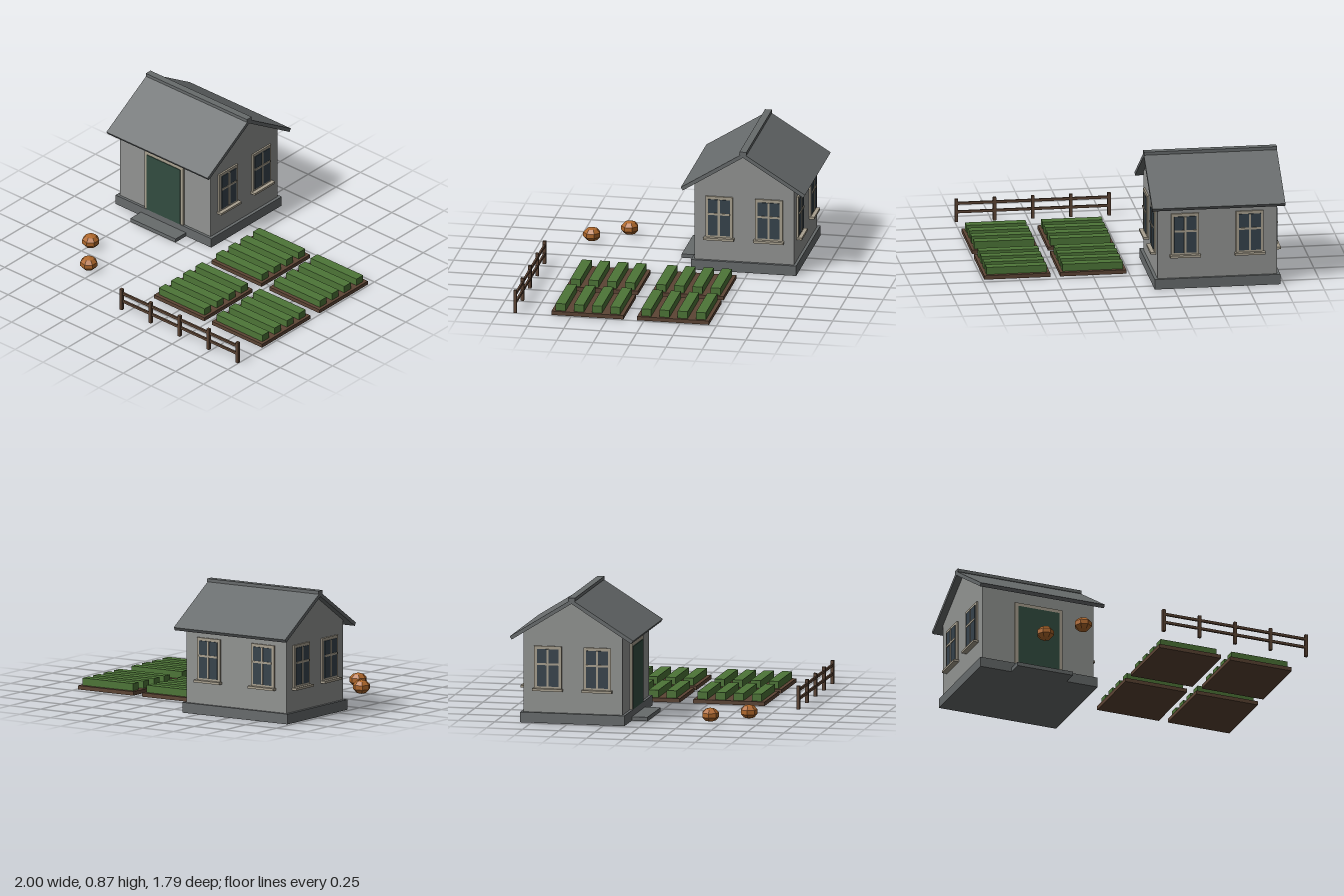
import * as THREE from 'three';

const mat = (name, color, flatShading = false) => {
  const m = new THREE.MeshStandardMaterial({ color, flatShading });
  m.name = name;
  return m;
};

export function createModel() {
  const wallGrey = mat('wall grey', 0x929492);
  const slate = mat('slate grey', 0x676b6c);
  const trim = mat('stone trim', 0xa8a08f);
  const doorGreen = mat('door green', 0x324c40);
  const glass = mat('window glass', 0x36434c);
  const wood = mat('brown wood', 0x5c4434);
  const leaf = mat('crop green', 0x4d7537);
  const orange = mat('pumpkin orange', 0xb0682b, true);

  const group = (name, parent) => {
    const g = new THREE.Group();
    g.name = name;
    parent.add(g);
    return g;
  };
  const add = (parent, name, geometry, material, x = 0, y = 0, z = 0) => {
    const m = new THREE.Mesh(geometry, material);
    m.name = name;
    m.position.set(x, y, z);
    parent.add(m);
    return m;
  };
  // Box given by its size, its centre in x and z, and its underside in y
  const box = (parent, name, material, w, h, d, x, y, z) =>
    add(parent, name, new THREE.BoxGeometry(w, h, d), material, x, y + h / 2, z);
  // Profile of (z, y) points, extruded along x and centred
  const prism = (parent, name, material, points, length) => {
    const shape = new THREE.Shape(points.map(([a, b]) => new THREE.Vector2(a, b)));
    const geo = new THREE.ExtrudeGeometry(shape, { depth: length, bevelEnabled: false });
    geo.translate(0, 0, -length / 2).rotateY(Math.PI / 2);
    return add(parent, name, geo, material);
  };

  const model = new THREE.Group();
  model.name = 'cottageGarden';

  // House, built around its own centre
  const house = group('house', model);
  house.position.set(-0.547, 0, -0.469);
  const hw = 0.406, hd = 0.342;
  box(house, 'foundation', slate, 0.856, 0.07, 0.722, 0, 0, 0);
  prism(house, 'walls', wallGrey,
    [[-hd, 0.07], [hd, 0.07], [hd, 0.613], [0, 0.827], [-hd, 0.613]], hw * 2);
  prism(house, 'roof', slate,
    [[-0.427, 0.589], [-0.413, 0.568], [0, 0.827], [0.413, 0.568], [0.427, 0.589], [0, 0.856]], 0.906);
  box(house, 'ridgeCap', slate, 0.906, 0.022, 0.048, 0, 0.845, 0);
  box(house, 'doorStep', slate, 0.405, 0.027, 0.12, 0, 0, 0.409);

  // Door and its surround
  const door = group('door', house);
  door.position.z = hd;
  box(door, 'doorFrame', trim, 0.345, 0.455, 0.028, 0, 0.07, 0);
  box(door, 'doorPanel', doorGreen, 0.3, 0.43, 0.038, 0, 0.07, 0);

  // Window facing +z: frame plate, glass, glazing bars and sill
  const addWindow = (x, z, turn) => {
    const w = group('window', house);
    w.position.set(x, 0, z);
    w.rotation.y = turn;
    box(w, 'windowFrame', trim, 0.188, 0.29, 0.024, 0, 0.235, 0);
    box(w, 'windowPane', glass, 0.15, 0.255, 0.034, 0, 0.25, 0);
    box(w, 'verticalBar', trim, 0.014, 0.255, 0.042, 0, 0.25, 0);
    box(w, 'crossBar', trim, 0.15, 0.014, 0.042, 0, 0.396, 0);
    box(w, 'windowSill', trim, 0.207, 0.016, 0.076, 0, 0.22, 0);
  };
  for (const s of [-1, 1]) {
    addWindow(hw, s * 0.171, Math.PI / 2);
    addWindow(-hw, s * 0.171, -Math.PI / 2);
    addWindow(s * 0.22, -hd, Math.PI);
  }

  // Four garden beds with four crop rows each
  for (const x of [0.245, 0.763]) {
    for (const z of [-0.199, 0.389]) {
      const bed = group('gardenBed', model);
      bed.position.set(x, 0, z);
      box(bed, 'bedBase', wood, 0.45, 0.027, 0.494, 0, 0, 0);
      for (let i = 0; i < 4; i++)
        box(bed, 'cropRow', leaf, 0.41, 0.05, 0.068, 0, 0.027, (i - 1.5) * 0.125);
    }
  }

  // Fence
  const fence = group('fence', model);
  fence.position.set(0.468, 0, 0.885);
  for (let i = 0; i < 5; i++)
    box(fence, 'fencePost', wood, 0.022, 0.16, 0.022, (i - 2) * 0.26, 0, 0);
  for (const y of [0.059, 0.119])
    box(fence, 'fenceRail', wood, 1.04, 0.018, 0.013, 0, y, 0);

  // Pumpkins
  for (const [x, z] of [[-0.727, 0.43], [-0.547, 0.656]]) {
    const p = add(model, 'pumpkin', new THREE.SphereGeometry(0.062, 7, 5), orange, x, 0.058, z);
    p.scale.y = 0.78;
  }

  return model;
}
